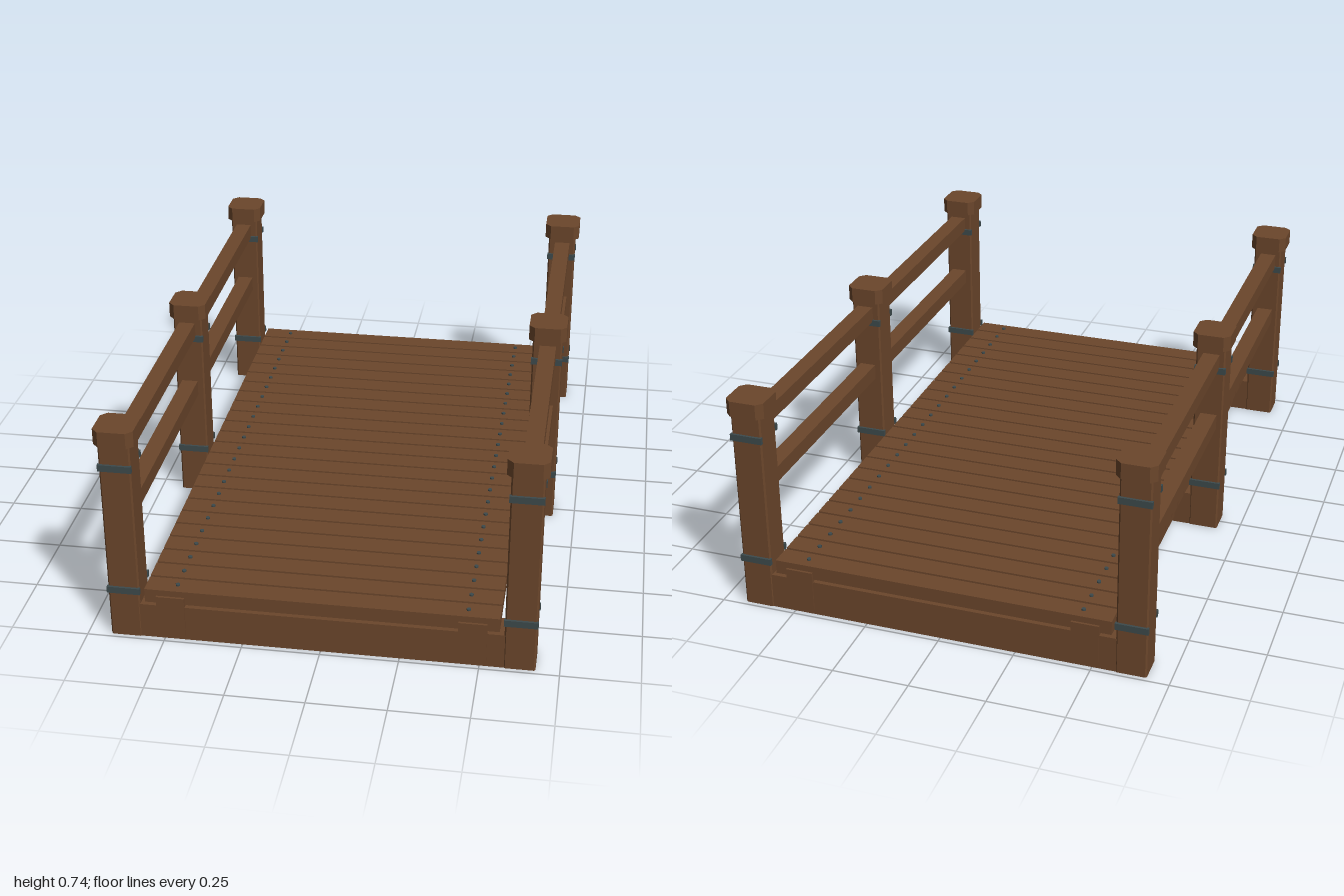
import * as THREE from 'three';

const wood = new THREE.MeshStandardMaterial({ color: 0x6b462b });
wood.name = 'brown wood';
const iron = new THREE.MeshStandardMaterial({ color: 0x3d4a4c });
iron.name = 'dark iron';

const POST_X = 0.625;
const POST_Z = [-0.935, 0, 0.935];

function add(parent, name, geometry, material, x, y, z) {
  const mesh = new THREE.Mesh(geometry, material);
  mesh.name = name;
  mesh.position.set(x, y, z);
  parent.add(mesh);
  return mesh;
}

// Upright square block with chamfered vertical corners, standing on y = 0
function chamferedBlock(width, height, cut) {
  const h = width / 2, c = h - cut;
  const outline = [[c, -h], [h, -c], [h, c], [c, h], [-c, h], [-h, c], [-h, -c], [-c, -h]];
  const shape = new THREE.Shape(outline.map(([x, y]) => new THREE.Vector2(x, y)));
  const geometry = new THREE.ExtrudeGeometry(shape, { depth: height, bevelEnabled: false });
  return geometry.rotateX(-Math.PI / 2);
}

export function createModel() {
  const bridge = new THREE.Group();
  bridge.name = 'woodenFootbridge';

  // Cross beams resting on the ground under each pair of posts
  const beamGeo = new THREE.BoxGeometry(1.25, 0.12, 0.095);
  for (const z of POST_Z) add(bridge, 'crossBeam', beamGeo, wood, 0, 0.06, z);

  // Long stringers carrying the deck
  const stringerGeo = new THREE.BoxGeometry(0.09, 0.137, 1.975);
  for (const s of [-1, 1]) add(bridge, 'stringer', stringerGeo, wood, s * 0.477, 0.0865, 0);

  // Deck planks, each nailed once to either stringer
  const deck = new THREE.Group();
  deck.name = 'deck';
  bridge.add(deck);
  const plankCount = 24, pitch = 0.082;
  const plankGeo = new THREE.BoxGeometry(1.12, 0.047, 0.073);
  const nailGeo = new THREE.CylinderGeometry(0.007, 0.007, 0.01, 8);
  for (let i = 0; i < plankCount; i++) {
    const z = (i - (plankCount - 1) / 2) * pitch;
    add(deck, 'plank', plankGeo, wood, 0, 0.1525, z);
    for (const s of [-1, 1]) add(deck, 'nail', nailGeo, iron, s * 0.46, 0.1765, z);
  }

  // Posts with caps and iron straps on their front and back faces
  const postGeo = chamferedBlock(0.1, 0.69, 0.005);
  const capGeo = chamferedBlock(0.127, 0.052, 0.02);
  const strapGeo = new THREE.BoxGeometry(0.106, 0.022, 0.012);
  for (const s of [-1, 1]) {
    for (const z of POST_Z) {
      const post = new THREE.Group();
      post.name = 'railingPost';
      post.position.set(s * POST_X, 0, z);
      bridge.add(post);
      add(post, 'postShaft', postGeo, wood, 0, 0, 0);
      add(post, 'postCap', capGeo, wood, 0, 0.685, 0);
      for (const y of [0.171, 0.609]) {
        for (const side of [-1, 1]) add(post, 'ironStrap', strapGeo, iron, 0, y, side * 0.052);
      }
    }
  }

  // Two handrails along each side
  const railGeo = new THREE.BoxGeometry(0.056, 0.053, 1.87);
  for (const s of [-1, 1]) {
    for (const y of [0.415, 0.64]) add(bridge, 'handrail', railGeo, wood, s * 0.627, y, 0);
  }

  return bridge;
}
